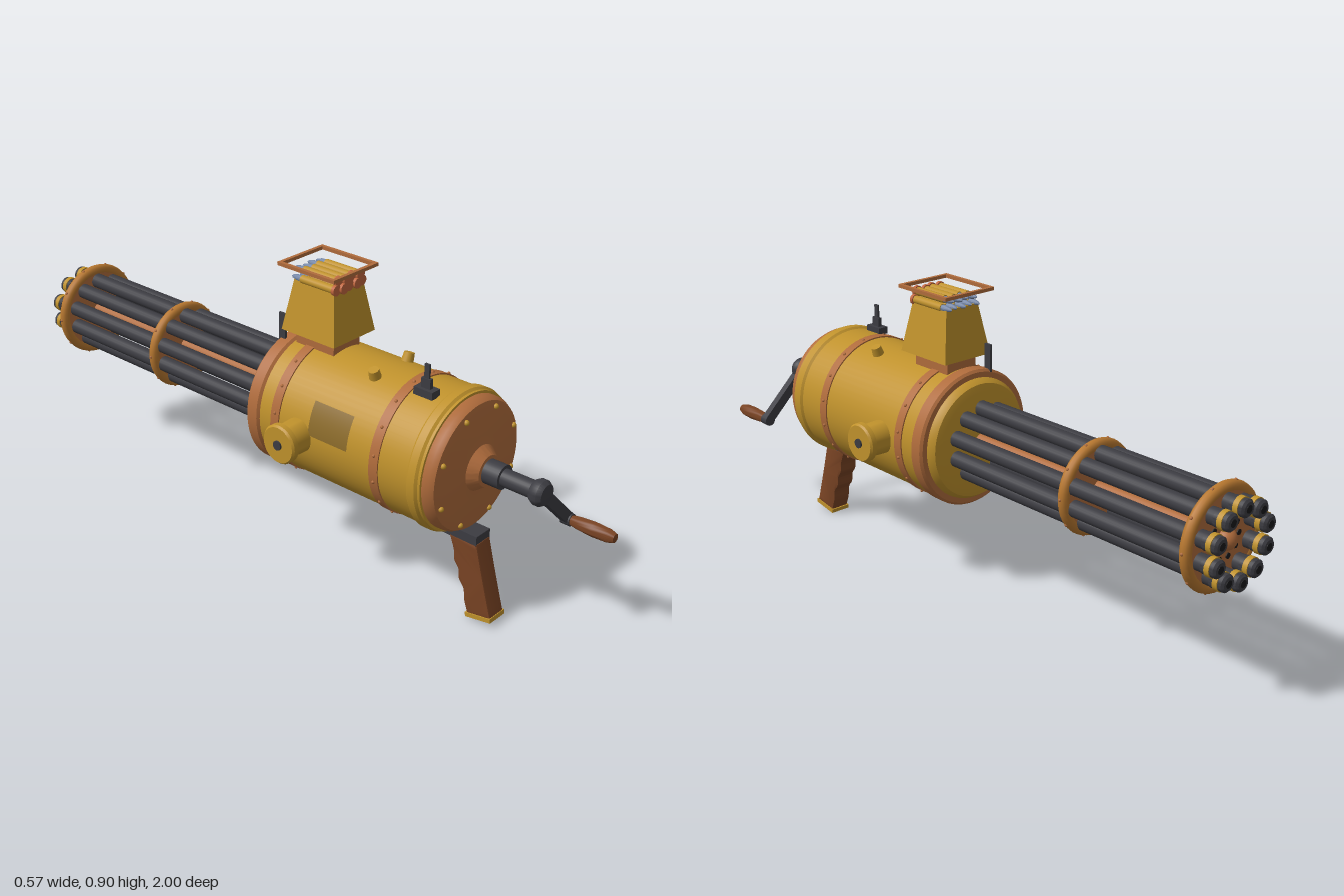
import * as THREE from 'three';
import { toCreasedNormals } from 'three/addons/utils/BufferGeometryUtils.js';

const mat = (name, color, side = THREE.FrontSide) => {
  const m = new THREE.MeshStandardMaterial({ color, side });
  m.name = name;
  return m;
};

export function createModel() {
  const brass = mat('brass', 0xc0922c);
  const copper = mat('copper', 0xb06c3c);
  const bronze = mat('bronze', 0xb87830);
  const steel = mat('gunmetal', 0x3c3c42);
  const wood = mat('wood', 0x7a4424);
  const plateMat = mat('darkBrass', 0x8a6a2a, THREE.DoubleSide);
  const primer = mat('cartridgeCopper', 0xc0663e);
  const tip = mat('bulletSteel', 0x7688a8);
  const bore = mat('bore', 0x18181a);

  const Y = 0.46; // height of the main axis
  const model = new THREE.Group();
  model.name = 'crankGun';

  const add = (name, geo, material, x = 0, y = 0, z = 0, parent = model) => {
    const m = new THREE.Mesh(geo, material);
    m.name = name;
    m.position.set(x, y, z);
    parent.add(m);
    return m;
  };
  // Turned shape along z from [radius, z] pairs in rising z
  const turned = (pts, seg = 48) => toCreasedNormals(
    new THREE.LatheGeometry(pts.map(p => new THREE.Vector2(...p)), seg).rotateX(Math.PI / 2), 0.6);
  // Closed cylinder along z between z0 and z1
  const rod = (r, z0, z1, seg = 20) =>
    new THREE.CylinderGeometry(r, r, z1 - z0, seg).rotateX(Math.PI / 2).translate(0, 0, (z0 + z1) / 2);
  const box = (w, h, d) => new THREE.BoxGeometry(w, h, d);
  const ring = (n, r, offset, fn) => {
    for (let i = 0; i < n; i++) {
      const a = ((i + offset) / n) * Math.PI * 2;
      fn(Math.cos(a) * r, Math.sin(a) * r, a);
    }
  };

  // Main housing
  add('housing', turned([[0, -0.042], [0.15, -0.042], [0.172, -0.036], [0.183, -0.02],
    [0.186, 0], [0.2, 0], [0.2, 0.61], [0, 0.61]], 64), brass, 0, Y);
  add('forwardRing', turned([[0.18, -0.014], [0.2, -0.014], [0.207, -0.007], [0.207, 0.028],
    [0.2, 0.035], [0.19, 0.035]], 64), copper, 0, Y);
  add('rearRing', turned([[0.19, 0.565], [0.2, 0.565], [0.206, 0.572], [0.206, 0.595],
    [0.2, 0.602], [0.18, 0.602]], 64), brass, 0, Y);
  add('rearCap', turned([[0.19, 0.6], [0.193, 0.605], [0.192, 0.63], [0.184, 0.644], [0.16, 0.65],
    [0.09, 0.653], [0.066, 0.657], [0.056, 0.67], [0.045, 0.684], [0, 0.686]], 64), copper, 0, Y);
  const rivet = new THREE.SphereGeometry(0.008, 12, 8);
  ring(8, 0.168, 0.5, (x, y) => add('capRivet', rivet, brass, x, Y + y, 0.649));

  // Riveted bands
  for (const z of [0.095, 0.455]) {
    add('band', turned([[0.195, z - 0.015], [0.204, z - 0.015], [0.204, z + 0.015],
      [0.195, z + 0.015]], 64), copper, 0, Y);
    ring(16, 0.204, 0.5, (x, y) => add('bandRivet', new THREE.SphereGeometry(0.005, 8, 6), copper, x, Y + y, z));
  }

  // Curved plate on the right flank
  const plate = new THREE.CylinderGeometry(0.202, 0.202, 0.14, 12, 1, true, 0, 0.5)
    .rotateX(Math.PI / 2).rotateZ(-Math.PI / 2 - 0.02);
  plate.computeBoundingBox();
  // Place the arc on the -x side, just above the axis
  const c = plate.boundingBox.getCenter(new THREE.Vector3());
  plate.rotateZ(Math.PI - 0.33 - Math.atan2(c.y, c.x));
  add('flankPlate', plate, plateMat, 0, Y, 0.29);

  // Side trunnions
  for (const s of [-1, 1]) {
    const g = new THREE.Group();
    g.name = s > 0 ? 'leftTrunnion' : 'rightTrunnion';
    g.position.set(0, Y, 0.18);
    g.rotation.y = s * Math.PI / 2;
    model.add(g);
    add('trunnionBody', turned([[0.05, 0.18], [0.05, 0.2], [0.048, 0.252], [0.058, 0.256], [0.058, 0.272],
      [0.053, 0.278], [0, 0.278]], 32), brass, 0, 0, 0, g);
    add('trunnionPin', rod(0.014, 0.27, 0.283), steel, 0, 0, 0, g);
  }

  // Oil cups on top
  for (const s of [-1, 1]) {
    const cup = add('oilCup', new THREE.CylinderGeometry(0.015, 0.018, 0.03, 20), brass,
      s * 0.072, Y + 0.198, 0.345);
    cup.rotation.z = -s * 0.35;
  }

  // Barrel cluster
  add('centerRod', rod(0.022, -0.93, 0), copper, 0, Y);
  const muzzle = turned([[0, -1], [0.019, -1], [0.025, -0.994], [0.025, -0.955], [0, -0.955]], 20);
  ring(10, 0.101, 0.5, (x, y) => {
    add('barrel', rod(0.0235, -0.96, -0.03), steel, x, Y + y);
    add('muzzle', muzzle, steel, x, Y + y);
    add('muzzleCollar', rod(0.0275, -0.983, -0.968), brass, x, Y + y);
    add('boreHole', rod(0.011, -1.001, -0.999, 14), bore, x, Y + y);
  });
  for (const [z, r] of [[-0.497, 0.138], [-0.92, 0.15]]) {
    add('barrelDisc', rod(r - 0.01, z - 0.013, z + 0.013, 48), copper, 0, Y);
    add('barrelDiscRim', new THREE.TorusGeometry(r - 0.016, 0.016, 12, 48), bronze, 0, Y, z);
    ring(10, r - 0.002, 0, (x, y) => add('rimRivet', new THREE.SphereGeometry(0.005, 8, 6), copper, x, Y + y, z));
  }
  add('discBoss', new THREE.SphereGeometry(0.03, 24, 16), copper, 0, Y, -0.937);
  ring(10, 0.056, 0, (x, y) => add('discHole', rod(0.008, -0.936, -0.93, 12), bore, x, Y + y));

  // Crank
  add('crankCollar', rod(0.035, 0.68, 0.735, 28), steel, 0, Y);
  add('crankShaft', rod(0.025, 0.68, 0.85, 28), steel, 0, Y);
  add('crankHub', turned([[0, 0.825], [0.03, 0.828], [0.037, 0.84], [0.037, 0.855], [0.029, 0.867], [0, 0.872]], 32), steel, 0, Y);
  const arm = add('crankArm', box(0.21, 0.032, 0.024), steel, 0.075, Y - 0.072, 0.846);
  arm.rotation.z = Math.atan2(-0.145, 0.15);
  add('crankKnuckle', rod(0.018, 0.833, 0.862), steel, 0.148, Y - 0.145);
  add('crankHandle', turned([[0, 0.858], [0.014, 0.86], [0.018, 0.885], [0.021, 0.93], [0.019, 0.975],
    [0.013, 0.995], [0, 1]], 24), wood, 0.148, Y - 0.145);

  // Pistol grip
  add('gripMount', box(0.062, 0.03, 0.125), steel, 0, 0.25, 0.618);
  const profile = new THREE.Shape();
  profile.moveTo(-0.59, 0.24);
  profile.lineTo(-0.682, 0.24);
  profile.quadraticCurveTo(-0.705, 0.15, -0.742, 0.026);
  profile.lineTo(-0.665, 0.012);
  profile.splineThru([[-0.652, 0.05], [-0.647, 0.085], [-0.63, 0.11], [-0.626, 0.14], [-0.61, 0.165],
    [-0.607, 0.195], [-0.59, 0.24]].map(p => new THREE.Vector2(...p)));
  const grip = new THREE.ExtrudeGeometry(profile, {
    depth: 0.052, bevelEnabled: true, bevelSize: 0.005, bevelThickness: 0.006, bevelOffset: -0.005,
    bevelSegments: 2, curveSegments: 14,
  }).translate(0, 0, -0.026).rotateY(Math.PI / 2);
  add('grip', toCreasedNormals(grip, 0.6), wood);
  const buttCap = add('gripCap', box(0.068, 0.013, 0.085), brass, 0, 0.0145, 0.703);
  buttCap.rotation.x = -0.18;

  // Ammunition hopper: box tapered toward its top
  add('hopperNeck', box(0.11, 0.06, 0.14), copper, 0, 0.662, 0.113);
  const hopper = box(0.174, 0.152, 0.196);
  const p = hopper.attributes.position;
  for (let i = 0; i < p.count; i++)
    if (p.getY(i) > 0) p.setXYZ(i, p.getX(i) * 0.69, p.getY(i), p.getZ(i) * 0.75);
  hopper.computeVertexNormals();
  add('hopper', hopper, brass, 0, 0.771, 0.113);

  // Cartridges lying in the hopper, bullets toward the muzzles
  const cartridge = (x, y, z) => {
    const g = new THREE.Group();
    g.name = 'cartridge';
    g.position.set(x, y, z);
    model.add(g);
    add('case', rod(0.012, -0.05, 0.072, 14), brass, 0, 0, 0, g);
    add('caseBase', rod(0.0155, 0.068, 0.078, 14), primer, 0, 0, 0, g);
    add('bullet', turned([[0, -0.09], [0.005, -0.083], [0.009, -0.068], [0.01, -0.045]], 14), tip, 0, 0, 0, g);
  };
  [-0.053, -0.028, 0, 0.028, 0.053].forEach((x, i) => cartridge(x, 0.849, 0.113 + (i % 2) * 0.006));
  [-0.04, -0.014, 0.014, 0.04].forEach((x, i) => cartridge(x, 0.871, 0.11 + (i % 2) * 0.008));

  // Square frame above the hopper
  for (const s of [-1, 1]) {
    add('frameSide', box(0.011, 0.01, 0.208), copper, s * 0.087, 0.891, 0.109);
    add('frameEnd', box(0.185, 0.01, 0.011), copper, 0, 0.891, 0.109 + s * 0.0985);
  }

  // Sights
  add('rearSightBase', box(0.034, 0.022, 0.062), steel, -0.064, 0.661, 0.516);
  add('rearSightBlock', box(0.012, 0.03, 0.03), steel, -0.064, 0.685, 0.516);
  add('rearSightPost', box(0.007, 0.045, 0.016), steel, -0.064, 0.718, 0.516);
  add('foreSight', box(0.007, 0.085, 0.024), steel, -0.064, 0.69, -0.002);

  return model;
}
